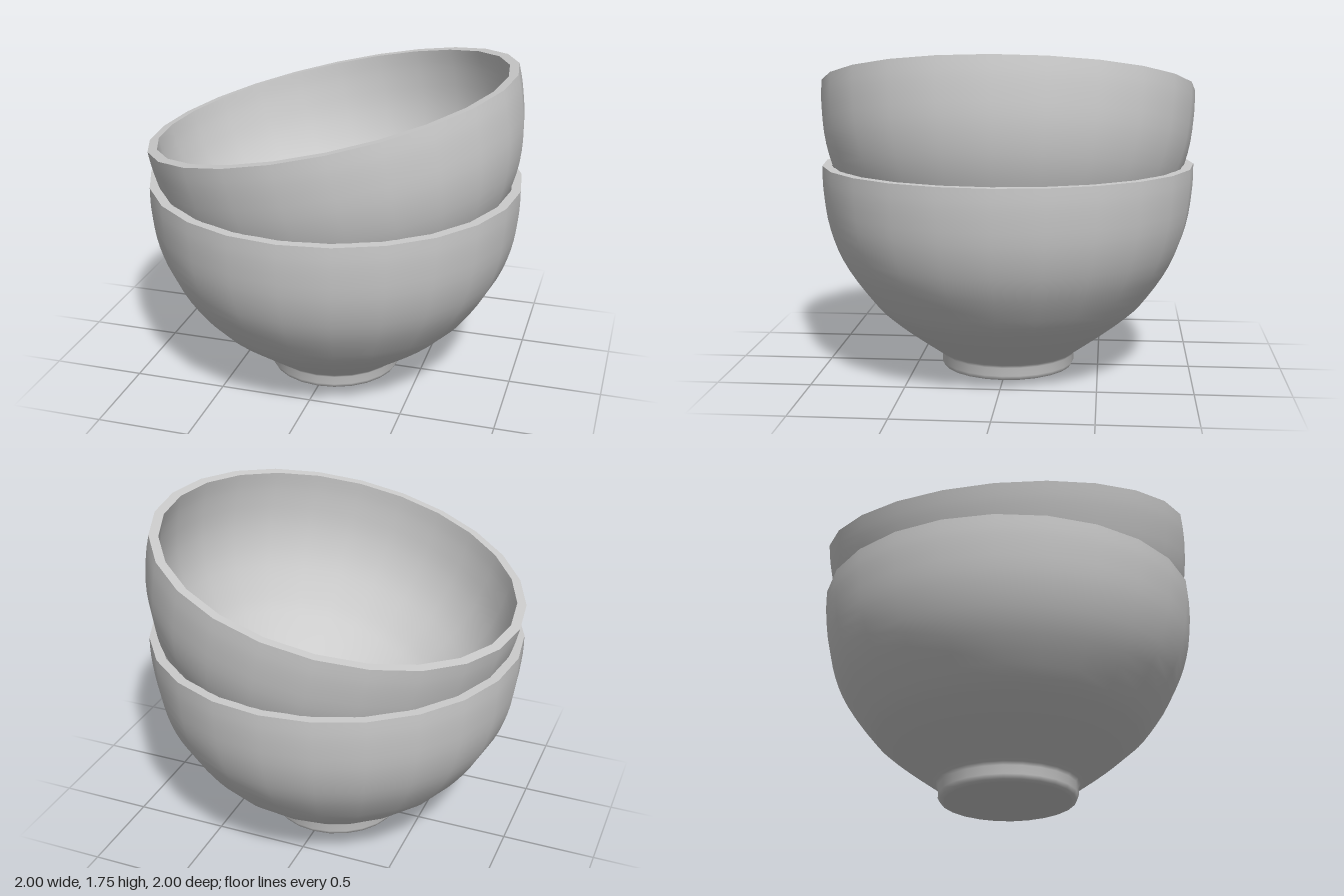
import * as THREE from 'three';
import { mergeGeometries } from 'three/addons/utils/BufferGeometryUtils.js';

const SIDES = 24;
const HEIGHT = 1.13;
const vec = ([x, y]) => new THREE.Vector2(x, y);
const smooth = (pts, n) => new THREE.SplineCurve(pts.map(vec)).getPoints(n);
const turn = (pts) => new THREE.LatheGeometry(pts, SIDES);

// Separate profile runs keep the rim, floor and base edges sharp
function bowlGeometry() {
  const base = [[0, 0], [0.335, 0]].map(vec);
  const outer = [
    ...[[0.335, 0], [0.355, 0.007], [0.367, 0.03], [0.367, 0.075]].map(vec),
    ...smooth([[0.38, 0.092], [0.53, 0.2], [0.656, 0.3], [0.757, 0.4], [0.893, 0.6],
      [0.968, 0.8], [0.997, 1.0], [1, HEIGHT]], 24),
  ];
  const rim = [[1, HEIGHT], [0.95, HEIGHT]].map(vec);
  const inner = [
    ...smooth([[0.95, HEIGHT], [0.947, 1.0], [0.92, 0.81], [0.848, 0.62], [0.718, 0.433],
      [0.62, 0.336], [0.498, 0.24], [0.345, 0.13]], 24),
    ...[[0.322, 0.1], [0.318, 0.05]].map(vec),
  ];
  const floor = [[0.318, 0.05], [0, 0.05]].map(vec);
  return mergeGeometries([base, outer, rim, inner, floor].map(turn));
}

export function createModel() {
  const group = new THREE.Group();
  group.name = 'stackedBowls';
  const geometry = bowlGeometry();
  const material = new THREE.MeshStandardMaterial({ color: 0xcccccc });

  const lower = new THREE.Mesh(geometry, material);
  lower.name = 'lowerBowl';

  // Upper bowl rests tilted inside the lower one
  const upper = new THREE.Mesh(geometry, material);
  upper.name = 'upperBowl';
  const tilt = THREE.MathUtils.degToRad(13);
  upper.rotation.z = tilt;
  upper.position.set(-0.022 + HEIGHT * Math.sin(tilt), 1.525 - HEIGHT * Math.cos(tilt), 0);

  group.add(lower, upper);
  return group;
}
